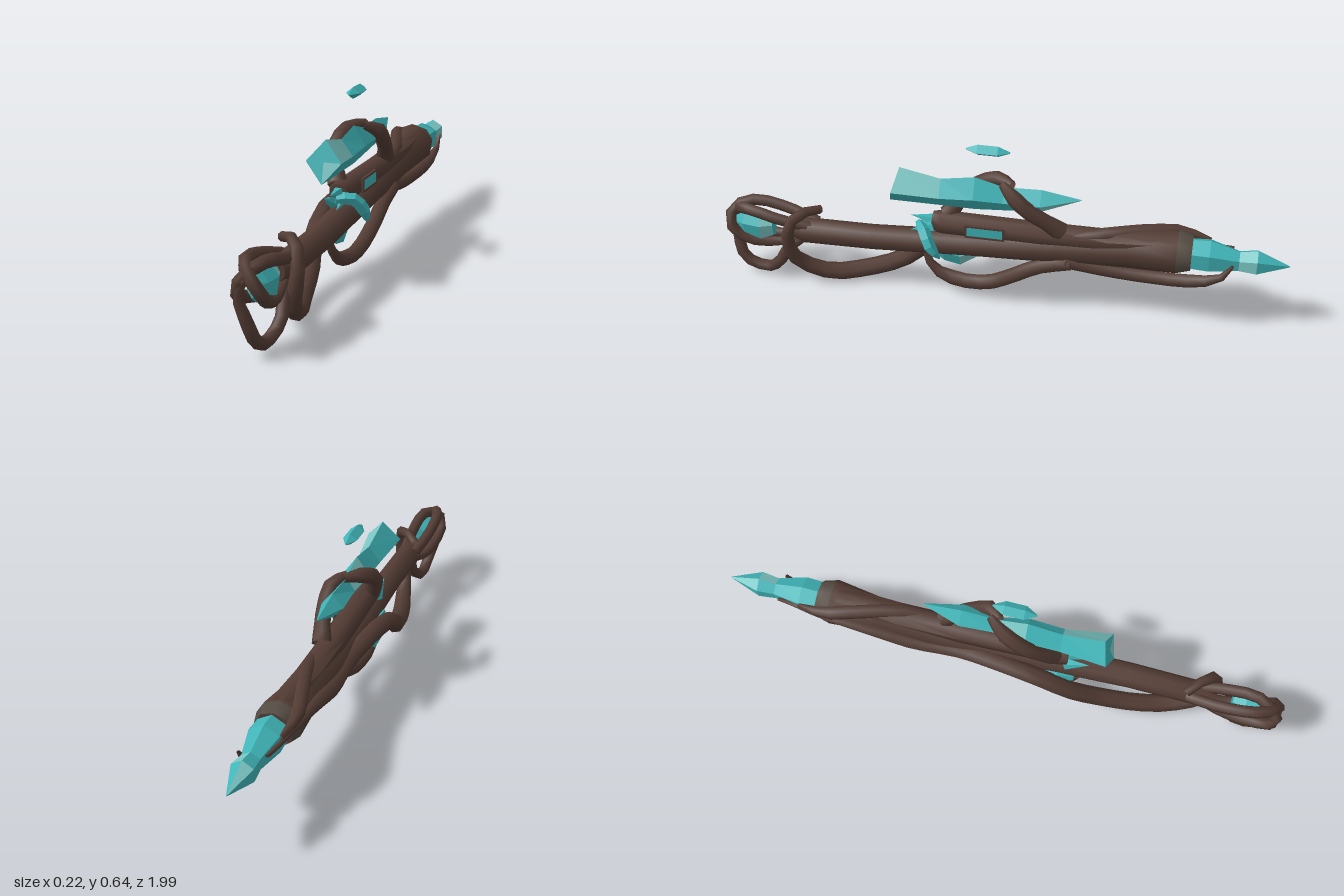
import * as THREE from 'three';
import { toCreasedNormals } from 'three/addons/utils/BufferGeometryUtils.js';

const mat = (name, color, flatShading) => {
  const m = new THREE.MeshStandardMaterial({ color, flatShading, side: THREE.DoubleSide });
  m.name = name;
  return m;
};

export function createModel() {
  const group = new THREE.Group();
  const bark = mat('bark', 0x533c34, false);
  const moss = mat('mossy bark', 0x544b42, false);
  const crystal = mat('crystal', 0x3fb3b6, true);
  const paleCrystal = mat('pale crystal', 0x7cc8c6, true);

  const add = (name, geo, material) => {
    const mesh = new THREE.Mesh(geo, material);
    mesh.name = name;
    group.add(mesh);
    return mesh;
  };

  // Loft along -z. Each section is [z, x, y, radiusX, radiusY, slant].
  const loft = (sections, sides, turn = 0, pale = () => false) => {
    const point = ([z, x, y, rx, ry, slant = 0], j) => {
      const a = (j / sides) * Math.PI * 2 + turn;
      return [x + Math.cos(a) * rx, y + Math.sin(a) * ry, z - Math.sin(a) * slant];
    };
    const geo = new THREE.BufferGeometry();
    const pos = [];
    const face = (light, ...pts) => {
      geo.addGroup(pos.length / 3, pts.length, light ? 1 : 0);
      pts.forEach((p) => pos.push(...p));
    };
    for (let i = 0; i < sections.length - 1; i++) {
      for (let j = 0; j < sides; j++) {
        const a = point(sections[i], j), b = point(sections[i], j + 1);
        const c = point(sections[i + 1], j), d = point(sections[i + 1], j + 1);
        face(pale(i, j), a, c, b, b, c, d);
      }
    }
    const first = sections[0], last = sections[sections.length - 1];
    for (let j = 0; j < sides; j++) {
      face(pale(-1, j), [first[1], first[2], first[0]], point(first, j), point(first, j + 1));
      face(false, [last[1], last[2], last[0]], point(last, j + 1), point(last, j));
    }
    geo.setAttribute('position', new THREE.Float32BufferAttribute(pos, 3));
    return toCreasedNormals(geo, 0.9);
  };

  // Tapered tube through points; radius runs r0 -> r1 -> r2 along its length
  const vine = (name, pts, r0, r1, r2, material = bark, sides = 7) => {
    const curve = new THREE.CatmullRomCurve3(pts.map((p) => new THREE.Vector3(...p)));
    const steps = (pts.length - 1) * 2;
    const geo = new THREE.TubeGeometry(curve, steps, 1, sides);
    const pos = geo.attributes.position, v = new THREE.Vector3();
    for (let i = 0; i < pos.count; i++) {
      const t = Math.floor(i / (sides + 1)) / steps;
      const r = t < 0.5 ? r0 + (r1 - r0) * Math.min(1, t * 4) : r1 + (r2 - r1) * Math.max(0, t * 4 - 3);
      const c = curve.getPointAt(t);
      v.fromBufferAttribute(pos, i).sub(c).multiplyScalar(r).add(c);
      pos.setXYZ(i, v.x, v.y, v.z);
    }
    return add(name, toCreasedNormals(geo, 1.2), material);
  };

  const gems = [crystal, paleCrystal];
  const woods = [bark, moss];
  const facets = (i, j) => (i * 3 + j * 2) % 5 === 1;

  // Main staff, swelling toward the rear collar
  add('staff', loft([
    [0.76, 0.005, 0.205, 0.025, 0.03], [0.7, 0.01, 0.208, 0.043, 0.048],
    [0.45, 0.012, 0.213, 0.045, 0.046], [0.1, 0, 0.225, 0.05, 0.045],
    [-0.2, -0.01, 0.245, 0.055, 0.06], [-0.45, -0.01, 0.27, 0.06, 0.07],
    [-0.62, -0.008, 0.285, 0.08, 0.078], [-0.67, -0.008, 0.285, 0.066, 0.063],
  ], 9, 0.2, (i) => i === 6), woods);

  // Upper rail lying on the staff
  add('rail', loft([
    [0.23, 0, 0.305, 0.034, 0.036], [0.2, 0, 0.305, 0.042, 0.042],
    [-0.15, -0.003, 0.3, 0.045, 0.04], [-0.38, -0.005, 0.305, 0.045, 0.035],
    [-0.6, -0.008, 0.32, 0.05, 0.04],
  ], 8, Math.PI / 8), bark);

  // Framed crystal window on the rail's left side
  const frame = new THREE.Shape();
  frame.moveTo(-0.07, -0.025).lineTo(0.07, -0.025).lineTo(0.07, 0.025).lineTo(-0.07, 0.025).closePath();
  const hole = new THREE.Path();
  hole.moveTo(-0.062, -0.018).lineTo(-0.062, 0.018).lineTo(0.062, 0.018).lineTo(0.062, -0.018).closePath();
  frame.holes.push(hole);
  const rim = add('windowFrame', new THREE.ExtrudeGeometry(frame, { depth: 0.01, bevelEnabled: false }), bark);
  rim.rotation.y = Math.PI / 2;
  rim.position.set(0.037, 0.307, 0.04);
  const pane = add('windowPane', new THREE.BoxGeometry(0.009, 0.036, 0.124), crystal);
  pane.position.set(0.0405, 0.307, 0.04);

  // Large crystal above the rail, its front end cut at a slant
  add('topCrystal', loft([
    [0.363, 0, 0.445, 0.061, 0.07, 0.02], [0.2, 0, 0.43, 0.042, 0.055],
    [0.08, 0, 0.44, 0.045, 0.066], [-0.02, 0, 0.43, 0.03, 0.048],
    [-0.15, 0, 0.438, 0.04, 0.045], [-0.285, 0, 0.458, 0.002, 0.002],
  ], 4, Math.PI / 2, facets), gems);

  // Rear spear crystal
  add('rearCrystal', loft([
    [-0.63, -0.005, 0.285, 0.055, 0.055], [-0.73, -0.005, 0.285, 0.06, 0.06],
    [-0.83, -0.005, 0.275, 0.036, 0.038], [-0.89, -0.005, 0.278, 0.043, 0.047],
    [-1, -0.005, 0.275, 0.002, 0.002],
  ], 6, Math.PI / 6, facets), gems);

  // Floating shard
  add('floatingShard', loft([
    [0.11, -0.005, 0.615, 0.003, 0.003], [0.07, -0.005, 0.615, 0.025, 0.02],
    [0, -0.005, 0.615, 0.025, 0.02], [-0.04, -0.005, 0.615, 0.003, 0.003],
  ], 4, Math.PI / 2), gems);

  // Crystal held in the front knot, and one under the staff
  add('frontCrystal', loft([
    [0.96, 0.012, 0.215, 0.012, 0.025], [0.92, 0.012, 0.215, 0.036, 0.052],
    [0.86, 0.014, 0.212, 0.042, 0.06], [0.815, 0.012, 0.215, 0.025, 0.045],
  ], 6, 0.3, facets), gems);
  add('underCrystal', loft([
    [0.26, -0.035, 0.185, 0.012, 0.02], [0.2, -0.035, 0.17, 0.034, 0.055],
    [0.14, -0.032, 0.16, 0.034, 0.055], [0.08, -0.028, 0.175, 0.015, 0.025],
  ], 6, 0, facets), gems);

  // Bent crystal sliver and small points at the rail's front end
  vine('sideSliver', [[0.01, 0.3, 0.28], [0.06, 0.298, 0.25], [0.088, 0.255, 0.225], [0.088, 0.21, 0.19]],
    0.012, 0.023, 0.003, crystal, 5);
  for (const [x, y, turn] of [[0, 0.315, 0.1], [0.022, 0.285, -0.3], [-0.022, 0.29, 0.4]]) {
    const tip = add('railPoint', new THREE.ConeGeometry(0.022, 0.09, 5), crystal);
    tip.rotation.x = Math.PI / 2 - turn;
    tip.position.set(x, y, 0.265);
  }

  // Thick vine: hooks round the front, dips below, then follows the right flank
  vine('longVine', [
    [-0.025, 0.28, 0.65], [0.01, 0.295, 0.68], [0.06, 0.27, 0.735], [0.064, 0.19, 0.75], [0.042, 0.1, 0.73],
    [0.01, 0.034, 0.62], [-0.022, 0.04, 0.5], [-0.05, 0.085, 0.36], [-0.078, 0.165, 0.25],
    [-0.08, 0.22, 0.15], [-0.065, 0.235, 0], [-0.05, 0.23, -0.15], [-0.06, 0.235, -0.3],
    [-0.07, 0.28, -0.5], [-0.07, 0.3, -0.65], [-0.055, 0.29, -0.74], [-0.05, 0.295, -0.81],
  ], 0.016, 0.033, 0.006);

  // Strand crossing the top toward the collar
  vine('topStrand', [
    [0.02, 0.31, -0.25], [0, 0.33, -0.38], [-0.04, 0.335, -0.52], [-0.07, 0.325, -0.64], [-0.06, 0.31, -0.73],
  ], 0.015, 0.025, 0.008);

  // Loop under the staff
  vine('underLoop', [
    [-0.02, 0.16, 0.27], [-0.01, 0.09, 0.235], [0, 0.058, 0.14], [0.01, 0.07, 0.03],
    [0.025, 0.125, -0.06], [0.03, 0.18, -0.15], [0.03, 0.21, -0.26],
  ], 0.01, 0.027, 0.025);

  // Root running below the collar to claw the rear crystal
  vine('rearClaw', [
    [0.03, 0.215, -0.24], [0.015, 0.187, -0.4], [0.015, 0.18, -0.55], [0.025, 0.19, -0.67],
    [0.04, 0.225, -0.77], [0.045, 0.285, -0.81],
  ], 0.023, 0.024, 0.006);

  // Two curled branches gripping the top crystal from opposite ends
  vine('leftClaw', [
    [0.012, 0.33, -0.22], [0.03, 0.375, -0.17], [0.042, 0.42, -0.11], [0.038, 0.465, -0.06], [0, 0.488, -0.015],
  ], 0.035, 0.028, 0.014);
  vine('rightClaw', [
    [-0.02, 0.325, 0.18], [-0.045, 0.38, 0.14], [-0.06, 0.44, 0.08], [-0.045, 0.48, 0.01], [0, 0.49, -0.05],
  ], 0.035, 0.028, 0.014);

  // Knot of thin vines at the front
  const knot = [
    [[-0.02, 0.23, 0.66], [-0.04, 0.265, 0.78], [-0.035, 0.285, 0.9], [0, 0.265, 0.965],
      [0.035, 0.22, 0.97], [0.04, 0.17, 0.92], [0.025, 0.155, 0.8], [0.01, 0.185, 0.69]],
    [[0.02, 0.23, 0.66], [0.03, 0.255, 0.78], [0.02, 0.28, 0.9], [-0.02, 0.25, 0.97],
      [-0.035, 0.205, 0.965], [-0.03, 0.165, 0.88], [-0.015, 0.165, 0.75], [0, 0.195, 0.68]],
    [[0, 0.19, 0.69], [0.025, 0.13, 0.765], [0.03, 0.07, 0.8], [0.012, 0.025, 0.86],
      [0.01, 0.055, 0.94], [-0.01, 0.13, 0.965], [-0.03, 0.2, 0.972], [0, 0.25, 0.978]],
  ];
  knot.forEach((pts, i) => vine('knotVine' + (i + 1), pts, 0.02, 0.021, 0.01));

  return group;
}
